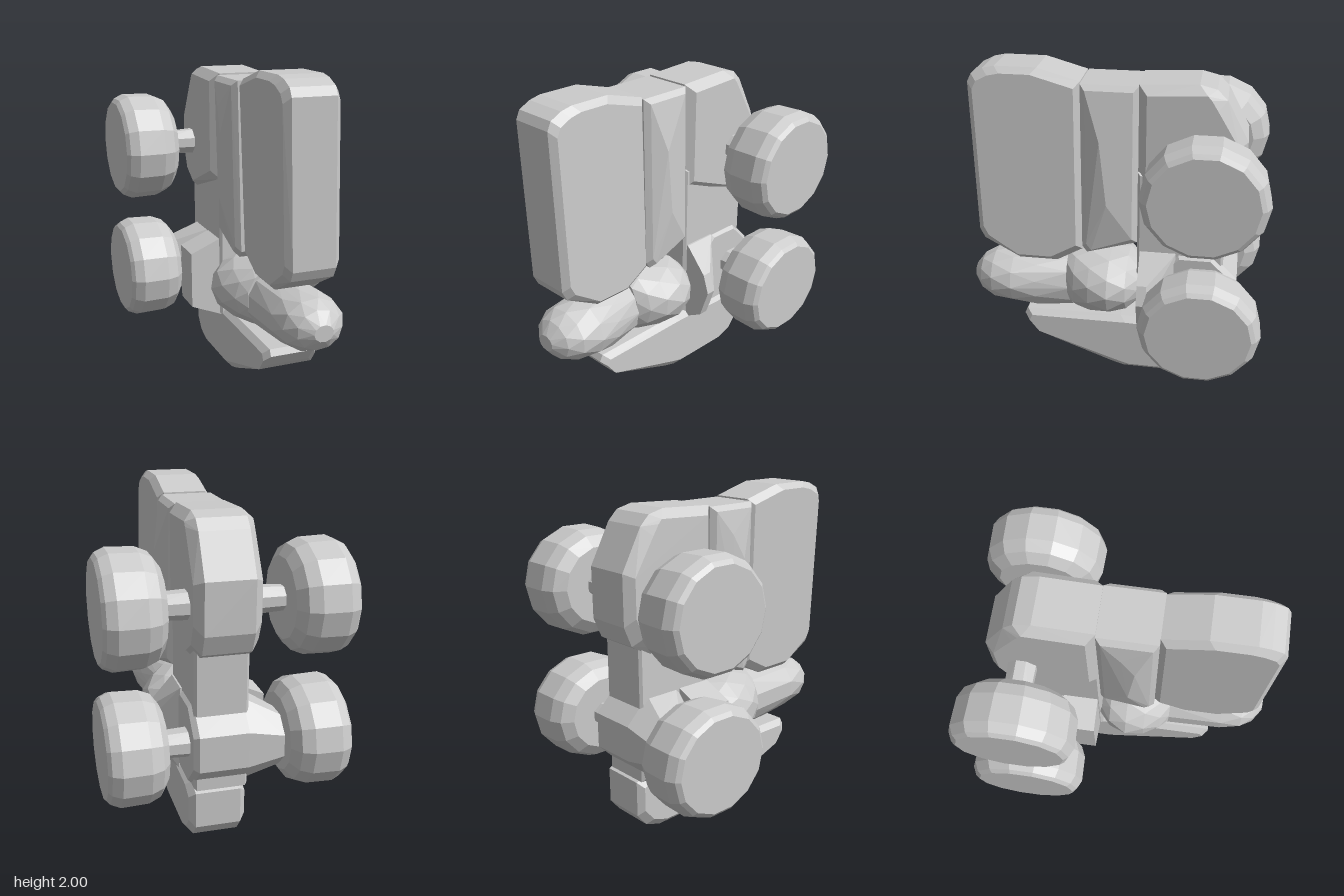
import * as THREE from 'three';
import { ConvexGeometry } from 'three/addons/geometries/ConvexGeometry.js';

const material = new THREE.MeshStandardMaterial({ color: 0xcccccc, flatShading: true, side: THREE.DoubleSide });
const V = (x, y, z) => new THREE.Vector3(x, y, z);

// Convex slab from a [z, y] side profile, with bevelled faces; lean shifts x as y drops
function plate(profile, x0, x1, bevel = 0.04, lean = 0, extra = []) {
  const n = profile.length;
  const cz = profile.reduce((s, p) => s + p[0], 0) / n;
  const cy = profile.reduce((s, p) => s + p[1], 0) / n;
  const points = [...extra];
  for (const [z, y] of profile) {
    const dx = lean * (cy - y);
    const iz = z - Math.sign(z - cz) * Math.min(bevel, Math.abs(z - cz));
    const iy = y - Math.sign(y - cy) * Math.min(bevel, Math.abs(y - cy));
    points.push(V(x0 + bevel + dx, y, z), V(x1 - bevel + dx, y, z));
    points.push(V(x0 + dx, iy, iz), V(x1 + dx, iy, iz));
  }
  return new ConvexGeometry(points);
}

// Convex body through elliptical sections [z, cx, cy, rx, ry]
function bodyZ(sections, sides) {
  const points = [];
  sections.forEach(([z, cx, cy, rx, ry], k) => {
    for (let i = 0; i < sides; i++) {
      const a = ((i + 0.5 * (k % 2)) / sides) * Math.PI * 2;
      points.push(V(cx + rx * Math.cos(a), cy + ry * Math.sin(a), z));
    }
  });
  return new ConvexGeometry(points);
}

// Convex body along x through sections [x, cy, cz, ry, rz]
function bodyX(sections, sides) {
  const points = [];
  for (const [x, cy, cz, ry, rz] of sections) {
    for (let i = 0; i < sides; i++) {
      const a = ((i + 0.5) / sides) * Math.PI * 2;
      points.push(V(x, cy + ry * Math.sin(a), cz + rz * Math.cos(a)));
    }
  }
  return new ConvexGeometry(points);
}

export function createModel() {
  const model = new THREE.Group();
  const add = (name, geometry) => {
    const mesh = new THREE.Mesh(geometry, material);
    mesh.name = name;
    model.add(mesh);
    return mesh;
  };

  // Upright body: front slab, bulging middle, rear block and spine
  add('frontSlab', plate([[0.2, 0.87], [0.36, 0.78], [0.6, 0.78], [0.82, 0.9], [0.85, 0.96],
    [0.865, 1.9], [0.84, 1.95], [0.77, 1.985], [0.7, 2], [0.45, 2], [0.2, 1.93]], -0.135, 0.195, 0.035, 0.03));
  add('middleSlab', plate([[0.2, 0.89], [0.17, 0.85], [-0.14, 0.94], [-0.14, 1.92], [0.2, 1.92]],
    -0.165, 0.2, 0.03, 0.02, [
      V(-0.21, 1.2, 0.04), V(-0.215, 1.6, 0.08), V(-0.2, 1.75, 0),
      V(0.24, 1.2, 0.04), V(0.24, 1.6, 0.08), V(0.21, 1.75, 0)]));
  add('rearBlock', plate([[-0.14, 1.27], [-0.6, 1.13], [-0.72, 1.2], [-0.77, 1.32], [-0.77, 1.62],
    [-0.68, 1.76], [-0.64, 1.86], [-0.58, 1.92], [-0.48, 1.945], [-0.14, 1.93]], -0.185, 0.2, 0.05));
  add('spine', plate([[-0.14, 0.35], [-0.67, 0.35], [-0.67, 1.3], [-0.14, 1.4]], -0.14, 0.18, 0.015));

  // Lower foot slab
  add('foot', plate([[-0.04, 0.4], [0.57, 0.4], [0.59, 0.36], [0.53, 0.28], [0.02, 0.035], [-0.06, 0.01],
    [-0.52, 0.005], [-0.62, 0.04], [-0.685, 0.12], [-0.685, 0.34], [-0.6, 0.38]], -0.13, 0.21, 0.035));

  // Front barrel with a rounded tip, and the ball behind it
  add('barrel', bodyZ([[0.28, 0.04, 0.59, 0.17, 0.19], [0.5, 0.07, 0.59, 0.19, 0.19], [0.65, 0.08, 0.605, 0.21, 0.175],
    [0.78, 0.08, 0.61, 0.19, 0.16], [0.86, 0.08, 0.61, 0.14, 0.12], [0.915, 0.08, 0.61, 0.06, 0.05]], 11));
  add('ball', bodyZ([[-0.15, 0.04, 0.62, 0.18, 0.13], [-0.08, 0.04, 0.62, 0.26, 0.19], [0.03, 0.04, 0.615, 0.305, 0.215],
    [0.15, 0.04, 0.615, 0.285, 0.215], [0.25, 0.04, 0.615, 0.23, 0.205], [0.305, 0.04, 0.615, 0.17, 0.19]], 12));

  // Hub around the lower axle, with its collar facing forward
  add('hub', bodyX([[-0.33, 0.62, -0.6, 0.17, 0.17], [-0.12, 0.62, -0.5, 0.28, 0.28],
    [0.17, 0.62, -0.5, 0.28, 0.28], [0.2, 0.62, -0.5, 0.25, 0.25]], 8));
  const collar = [[-0.1, 0.89], [-0.33, 0.79], [-0.33, 0.43], [-0.13, 0.35], [0.2, 0.36],
    [0.31, 0.42], [0.37, 0.6], [0.33, 0.72], [0.19, 0.88]];
  add('collar', new ConvexGeometry(collar.flatMap(([x, y]) =>
    [V(x, y, -0.16), V(x, y, x > 0.25 ? -0.22 : -0.38)])));

  // Axles and chunky many-sided wheels
  for (const [row, y, r] of [['upper', 1.445, 0.335], ['lower', 0.625, 0.325]]) {
    const axle = add(row + 'Axle', bodyX([[-0.42, y, -0.57, 0.07, 0.08], [-0.18, y, -0.57, 0.085, 0.075],
      [0.18, y, -0.57, 0.085, 0.1], [0.42, y, -0.57, 0.075, 0.09]], 8));
    axle.position.y = row === 'upper' ? 0.005 : 0;
    for (const side of [-1, 1]) {
      const outline = [[0, -0.175], [0.24, -0.175], [0.305, -0.13], [0.335, -0.06], [0.34, 0.1],
        [0.315, 0.155], [0.29, 0.175], [0, 0.175]].map(([a, b]) => new THREE.Vector2(a / 0.34, b));
      const wheel = add(row + (side > 0 ? 'LeftWheel' : 'RightWheel'),
        new THREE.LatheGeometry(outline, 14).rotateZ(-side * Math.PI / 2));
      wheel.scale.set(1, r, 0.357);
      wheel.position.set(side * 0.525, y, -0.555);
    }
  }
  return model;
}
